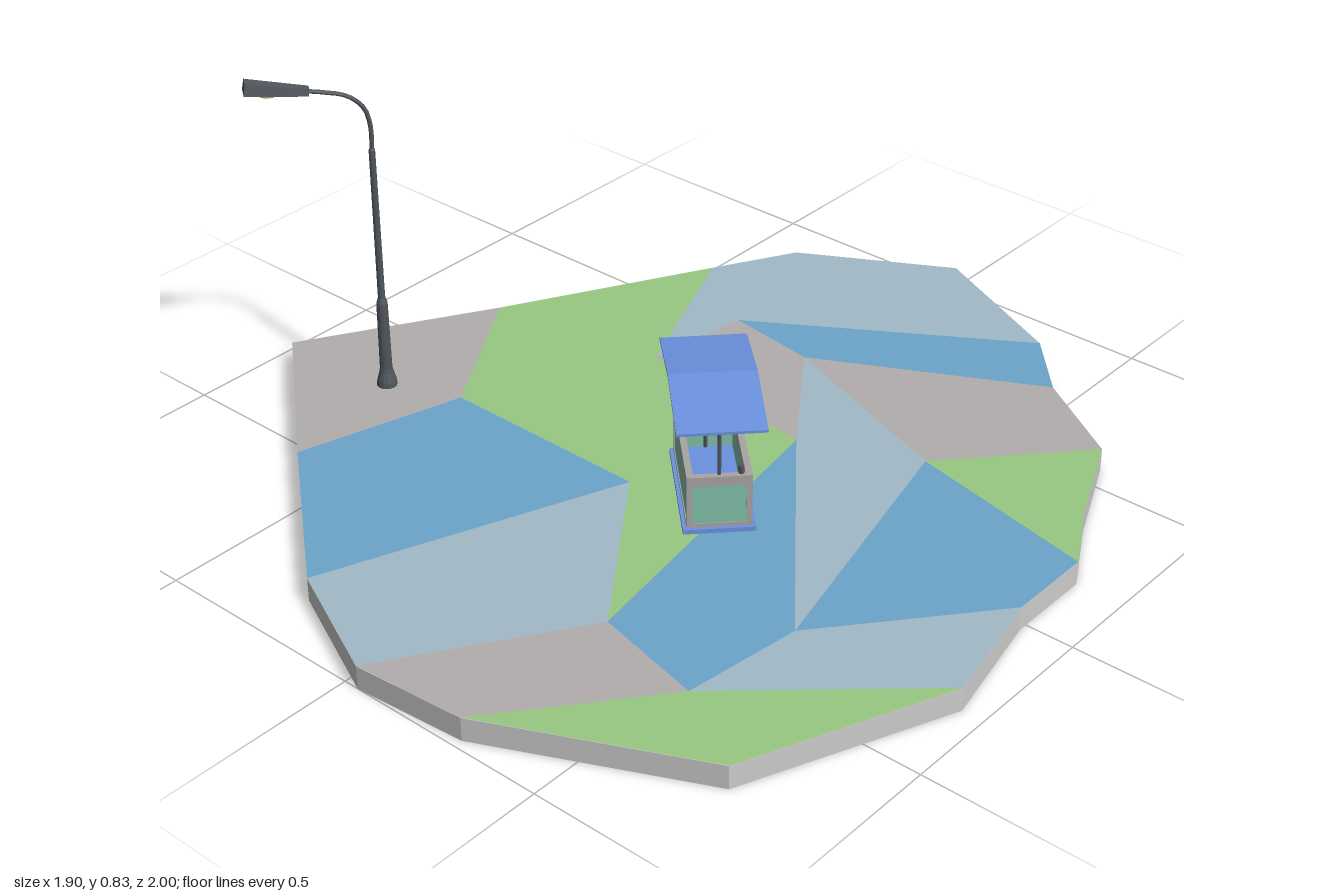
import * as THREE from 'three';

const mat = (color, side = THREE.FrontSide) =>
  new THREE.MeshStandardMaterial({ color, side, flatShading: true });
const GREY = mat(0xcccccc), STONE = mat(0xb2aeae), GREEN = mat(0x98c981), WATER = mat(0x6ba5ca),
  PALE = mat(0xa2bac8), TEAL = mat(0x7fbfa8), BLUE = mat(0x6b92e0), DARK = mat(0x50565c),
  FRAME = mat(0xaaa5a5), GLOW = mat(0xe8d890);
const TOP = 0.055;

function add(parent, name, geometry, material, x = 0, y = 0, z = 0) {
  const mesh = new THREE.Mesh(geometry, material);
  mesh.name = name;
  mesh.position.set(x, y, z);
  parent.add(mesh);
  return mesh;
}
const box = (w, h, d) => new THREE.BoxGeometry(w, h, d);
const rod = (r, h, n = 8, r2 = r) => new THREE.CylinderGeometry(r2, r, h, n);
const outline = (pts) => new THREE.Shape(pts.map(([x, z]) => new THREE.Vector2(x, -z)));

function createGround() {
  const g = new THREE.Group();
  g.name = 'ground';
  // rim corners, clockwise from the back
  const r = [[0, -1], [0.35, -0.84], [0.48, -0.7], [0.7, -0.56], [0.8, -0.34], [0.89, -0.18],
    [0.89, 0.02], [0.95, 0.3], [0.76, 0.76], [0.295, 0.98], [0.035, 1], [-0.245, 0.87],
    [-0.6, 0.575], [-0.95, 0.275], [-0.7, -0.15], [-0.445, -0.62], [-0.34, -0.81]];
  // inner corners shared by the patches
  const A = [-0.24, -0.47], B = [-0.02, -0.44], C = [-0.275, -0.22], D = [0.44, -0.275],
    E = [0.18, -0.16], F = [-0.49, 0.19], G = [0.015, 0.195], H = [0.6, 0.37],
    I = [0.305, 0.585], J = [0.565, 0.645];
  const slab = new THREE.ExtrudeGeometry(outline(r), { depth: TOP - 0.001, bevelEnabled: false });
  add(g, 'slab', slab.rotateX(-Math.PI / 2), GREY);
  const patches = [
    [PALE, [r[0], r[1], A, C, r[15], r[16]]],
    [WATER, [r[1], r[2], B, A]],
    [STONE, [r[2], r[3], D, B]],
    [STONE, [A, B, E, C]],
    [GREEN, [r[3], r[4], r[5], D]],
    [WATER, [D, r[5], r[6], H]],
    [PALE, [B, D, H, E]],
    [PALE, [H, r[6], r[7], J]],
    [GREEN, [J, r[7], r[8], r[9]]],
    [WATER, [E, H, J, I]],
    [STONE, [I, J, r[9], r[10]]],
    [PALE, [G, I, r[10], r[11]]],
    [WATER, [F, G, r[11], r[12]]],
    [STONE, [r[14], F, r[12], r[13]]],
    [GREEN, [r[15], C, E, I, G, F, r[14]]],
  ];
  for (const [m, pts] of patches)
    add(g, 'groundPatch', new THREE.ShapeGeometry(outline(pts)).rotateX(-Math.PI / 2), m, 0, TOP, 0);
  return g;
}

function createKiosk() {
  const g = new THREE.Group();
  g.name = 'kiosk';
  g.position.set(0.18, 0, 0.122);
  g.rotation.y = -0.765;
  const L = 0.29, W = 0.135;
  add(g, 'baseTray', box(L + 0.016, 0.01, W + 0.016), BLUE, 0, 0.074, 0);
  add(g, 'floor', box(L - 0.02, 0.012, W - 0.02), BLUE, 0, 0.085, 0);
  for (const s of [-1, 1]) {
    // side and end walls with framed panels
    add(g, 'sidePanel', box(L - 0.01, 0.1, 0.008), TEAL, 0, 0.13, s * (W / 2 - 0.006));
    add(g, 'endPanel', box(0.008, 0.1, W - 0.01), TEAL, s * (L / 2 - 0.006), 0.13, 0);
    for (const [y, h] of [[0.189, 0.022], [0.083, 0.01]]) {
      add(g, 'sideRail', box(L, h, 0.014), FRAME, 0, y, s * (W / 2 - 0.007));
      add(g, 'endRail', box(0.014, h, W - 0.028), FRAME, s * (L / 2 - 0.007), y, 0);
    }
    for (const t of [-1, 1]) {
      add(g, 'cornerPost', box(0.012, 0.1, 0.012), FRAME, s * (L / 2 - 0.006), 0.13, t * (W / 2 - 0.006));
      add(g, 'foot', box(0.035, 0.016, 0.02), DARK, s * 0.11, 0.062, t * 0.045);
    }
    add(g, 'skid', box(0.23, 0.008, 0.014), DARK, 0, 0.065, s * 0.045);
    add(g, 'roofPost', rod(0.004, 0.26), DARK, s * 0.134, 0.21, 0);
  }
  add(g, 'knob', rod(0.006, 0.02), DARK, 0.134, 0.208, -0.045);

  // low gable roof, ridge across the middle
  const gable = new THREE.Shape([[-0.187, 0.328], [0, 0.352], [0.187, 0.328], [0.187, 0.334],
    [0, 0.359], [-0.187, 0.334]].map((p) => new THREE.Vector2(...p)));
  const roof = new THREE.ExtrudeGeometry(gable, { depth: 0.184, bevelEnabled: false });
  add(g, 'roof', roof, BLUE, 0, 0, -0.092);
  return g;
}

function createLamp() {
  const g = new THREE.Group();
  g.name = 'streetLamp';
  g.position.set(-0.655, 0, 0.257);
  g.rotation.y = Math.atan2(-0.81, -0.58); // arm reaches along local +x
  const profile = [[0, TOP], [0.023, TOP], [0.022, 0.068], [0.016, 0.09], [0.014, 0.1], [0.0125, 0.265],
    [0.008, 0.28], [0.007, 0.64], [0.0045, 0.645], [0, 0.645]].map((p) => new THREE.Vector2(...p));
  add(g, 'pole', new THREE.LatheGeometry(profile, 12), DARK);
  const path = new THREE.CatmullRomCurve3([[0, 0.63], [0, 0.7], [0.012, 0.742], [0.045, 0.772],
    [0.09, 0.785], [0.15, 0.796]].map(([x, y]) => new THREE.Vector3(x, y, 0)));
  add(g, 'arm', new THREE.TubeGeometry(path, 16, 0.005, 8), DARK);

  // tapered lamp head
  const head = new THREE.Group();
  head.name = 'lampHead';
  head.position.set(0.19, 0.804, 0);
  head.rotation.z = 0.17;
  g.add(head);
  const shell = box(0.135, 0.026, 0.04, 4, 1, 1);
  const p = shell.attributes.position;
  for (let i = 0; i < p.count; i++) {
    const taper = p.getX(i) < 0 ? 0.6 : 1;
    const crown = p.getY(i) > 0 ? 0.75 : 1;
    p.setY(i, p.getY(i) * taper);
    p.setZ(i, p.getZ(i) * taper * crown);
  }
  shell.computeVertexNormals();
  add(head, 'headShell', shell, DARK);
  const lens = new THREE.SphereGeometry(0.016, 10, 6).scale(1.5, 0.6, 1);
  add(head, 'lens', lens, GLOW, 0.02, -0.011, 0);
  return g;
}

export function createModel() {
  const model = new THREE.Group();
  model.name = 'parkIsland';
  model.add(createGround(), createKiosk(), createLamp());
  return model;
}
